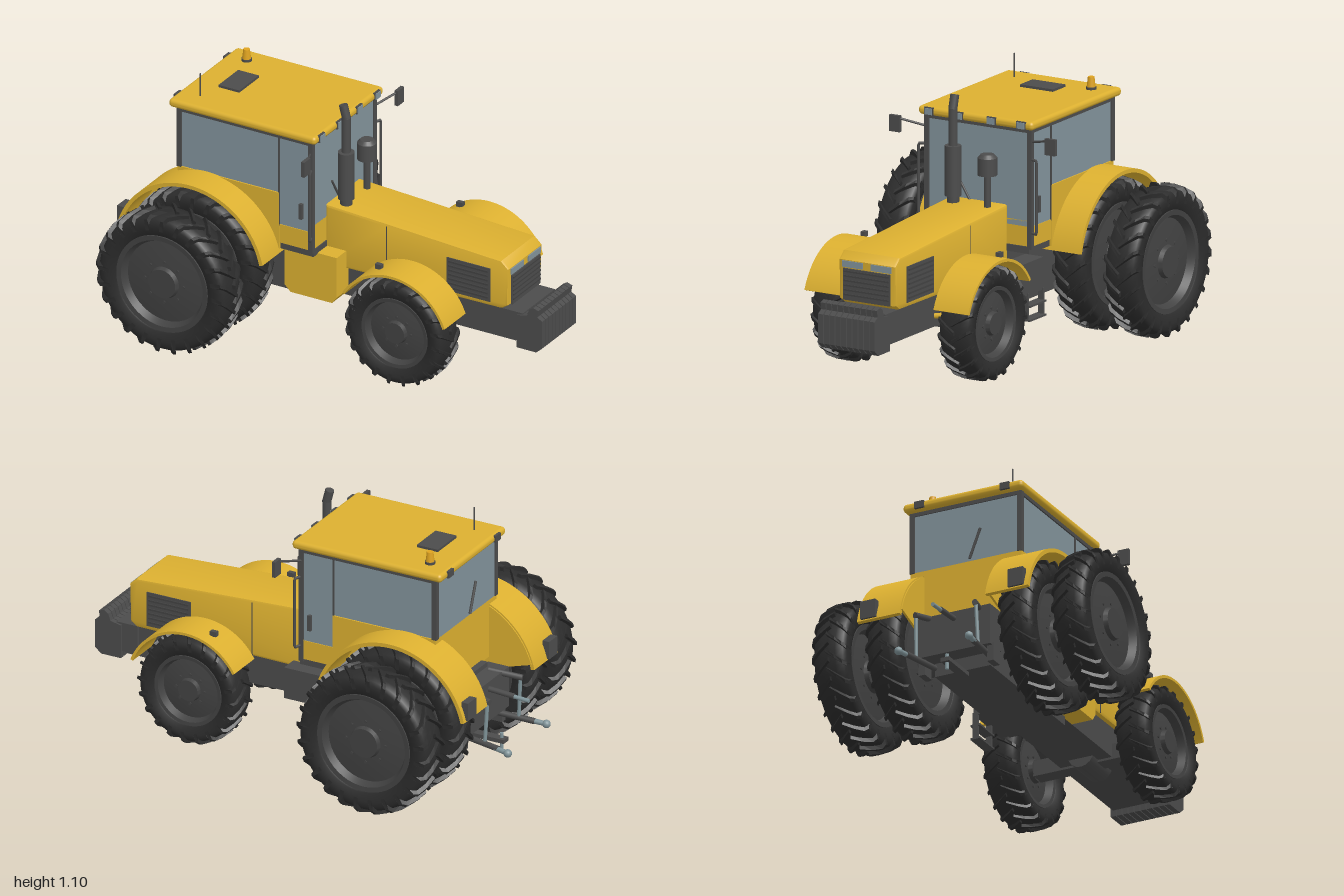
import * as THREE from 'three';
import { mergeGeometries, toCreasedNormals } from 'three/addons/utils/BufferGeometryUtils.js';
import { RoundedBoxGeometry } from 'three/addons/geometries/RoundedBoxGeometry.js';

const mat = (name, color) => Object.assign(new THREE.MeshStandardMaterial({ color }), { name });
const yellow = mat('yellow paint', 0xdcb030);
const dark = mat('dark grey metal', 0x4c4c4c);
const rubber = mat('tyre rubber', 0x2c2c2c);
const rimGrey = mat('rim grey', 0x424242);
const glass = mat('blue grey glass', 0x82939b);
const steel = mat('steel', 0x809499);
const amber = mat('amber', 0xdfa31f);

export function createModel() {
  const root = new THREE.Group();
  root.name = 'tractor';
  const add = (name, geo, m, x = 0, y = 0, z = 0, parent = root) => {
    const mesh = new THREE.Mesh(geo, m);
    mesh.name = name;
    mesh.position.set(x, y, z);
    parent.add(mesh);
    return mesh;
  };
  // box given by its limits
  const box = (name, m, x0, x1, y0, y1, z0, z1) =>
    add(name, new THREE.BoxGeometry(x1 - x0, y1 - y0, Math.abs(z1 - z0)), m, (x0 + x1) / 2, (y0 + y1) / 2, (z0 + z1) / 2);
  // rod between two points
  const rod = (name, m, a, b, r, sides = 10) => {
    const A = new THREE.Vector3(...a), d = new THREE.Vector3(...b).sub(A);
    const mesh = add(name, new THREE.CylinderGeometry(r, r, d.length(), sides), m);
    mesh.position.copy(A).addScaledVector(d, 0.5);
    mesh.quaternion.setFromUnitVectors(new THREE.Vector3(0, 1, 0), d.normalize());
    return mesh;
  };
  const cyl = (name, m, x, y0, y1, z, r0, r1 = r0) =>
    add(name, new THREE.CylinderGeometry(r1, r0, y1 - y0, 20), m, x, (y0 + y1) / 2, z);
  const tube = (name, m, pts, r) => {
    const path = new THREE.CurvePath();
    const v = pts.map(p => new THREE.Vector3(...p));
    for (let i = 1; i < v.length; i++) path.add(new THREE.LineCurve3(v[i - 1], v[i]));
    return add(name, new THREE.TubeGeometry(path, 40, r, 8), m);
  };
  // side profile extruded from z0 to z1
  const slab = (name, m, pts, z0, z1, bevel = 0) => {
    const shape = pts instanceof THREE.Shape ? pts : new THREE.Shape(pts.map(p => new THREE.Vector2(...p)));
    const geo = new THREE.ExtrudeGeometry(shape, {
      depth: z1 - z0 - 2 * bevel, bevelEnabled: bevel > 0, bevelSize: bevel, bevelThickness: bevel,
      bevelOffset: -bevel, bevelSegments: 2, curveSegments: 32 });
    return add(name, toCreasedNormals(geo, 0.5), m, 0, 0, z0 + bevel);
  };

  // tread: two staggered rows of slanted bars that wrap over the shoulder
  const treadGeometry = (R, w, n) => {
    const stations = [[-0.04, 1, 0], [0.22, 0.997, 0.11], [0.42, 0.975, 0.2], [0.5, 0.92, 0.235], [0.49, 0.84, 0.25]];
    const pos = [], idx = [];
    for (const s of [1, -1]) for (let i = 0; i < n; i++) {
      const base = (i + (s > 0 ? 0 : 0.5)) * Math.PI * 2 / n, start = pos.length / 3;
      for (const [zf, rf, turn] of stations)
        for (const [da, dr] of [[-1.2, -0.075], [-0.8, 0], [0.8, 0], [1.2, -0.075]]) {
          const a = base + turn + da * 0.3 / n * 2.4, r = R * (rf + dr);
          pos.push(Math.cos(a) * r, Math.sin(a) * r, s * zf * w);
        }
      const quad = (a, b, c, d) => s > 0 ? idx.push(a, b, c, a, c, d) : idx.push(a, c, b, a, d, c);
      for (let k = 0; k < stations.length - 1; k++) for (let j = 0; j < 4; j++) {
        const p = start + k * 4, q = (j + 1) % 4;
        quad(p + j, p + q, p + 4 + q, p + 4 + j);
      }
      quad(start + 3, start + 2, start + 1, start);
      const e = start + 4 * (stations.length - 1);
      quad(e, e + 1, e + 2, e + 3);
    }
    const g = new THREE.BufferGeometry();
    g.setAttribute('position', new THREE.Float32BufferAttribute(pos, 3));
    g.setIndex(idx);
    const flat = g.toNonIndexed();
    flat.computeVertexNormals();
    return flat;
  };
  const lathe = (half, seg) => {
    const pts = [...half.map(([r, y]) => [r, -y]), ...half.slice().reverse()].map(p => new THREE.Vector2(...p));
    return new THREE.LatheGeometry(pts, seg).rotateX(Math.PI / 2);
  };
  const wheel = (name, x, y, z, R, w, rim, n) => {
    const g = new THREE.Group();
    g.name = name;
    g.position.set(x, y, z);
    root.add(g);
    add('tyre', lathe([[rim, w * 0.34], [rim * 1.05, w * 0.42], [R * 0.8, w * 0.48], [R * 0.87, w * 0.475],
      [R * 0.92, w * 0.41], [R * 0.945, w * 0.2], [R * 0.95, w * 0.02]], 56), rubber, 0, 0, 0, g);
    add('tread', treadGeometry(R, w, n), rubber, 0, 0, 0, g);
    add('rim', toCreasedNormals(lathe([[0, w * 0.4], [rim * 0.3, w * 0.4], [rim * 0.33, w * 0.28], [rim * 0.55, w * 0.26],
      [rim * 0.85, w * 0.2], [rim * 0.92, w * 0.4], [rim * 1.02, w * 0.41], [rim * 1.03, w * 0.3]], 48), 0.5), rimGrey, 0, 0, 0, g);
    const bolts = [];
    for (let i = 0; i < 8; i++) {
      const a = i * Math.PI / 4;
      bolts.push(new THREE.CylinderGeometry(0.007, 0.007, w * 0.6, 6).rotateX(Math.PI / 2)
        .translate(Math.cos(a) * rim * 0.43, Math.sin(a) * rim * 0.43, 0));
    }
    add('bolts', mergeGeometries(bolts), rimGrey, 0, 0, 0, g);
  };
  // curved mudguard band
  const band = (cx, cy, r0, r1, a0, a1) => {
    const s = new THREE.Shape();
    s.absarc(cx, cy, r1, a0, a1, false);
    s.absarc(cx, cy, r0, a1, a0, true);
    return s;
  };

  // chassis
  box('chassis', dark, -0.72, 0.86, 0.22, 0.36, -0.12, 0.12);
  box('gearbox', dark, -0.72, -0.05, 0.18, 0.44, -0.13, 0.13);
  box('rear housing', dark, -0.8, -0.7, 0.24, 0.42, -0.17, 0.17);
  rod('rear axle', steel, [-0.55, 0.335, -0.62], [-0.55, 0.335, 0.62], 0.018, 16);
  rod('rear axle casing', dark, [-0.55, 0.335, -0.26], [-0.55, 0.335, 0.26], 0.06, 16);
  box('front axle', dark, 0.39, 0.46, 0.21, 0.28, -0.25, 0.25);
  rod('front differential', dark, [0.34, 0.24, 0], [0.51, 0.24, 0], 0.06, 16);

  // wheels, mudguards and other paired parts
  for (const s of [1, -1]) {
    const side = s > 0 ? 'left' : 'right', z = (a, b) => s > 0 ? [a, b] : [-b, -a];
    wheel(side + ' outer rear wheel', -0.55, 0.335, s * 0.56, 0.325, 0.16, 0.215, 24);
    wheel(side + ' inner rear wheel', -0.55, 0.335, s * 0.31, 0.325, 0.16, 0.215, 24);
    wheel(side + ' front wheel', 0.425, 0.25, s * 0.31, 0.245, 0.16, 0.155, 20);
    slab(side + ' rear fender', yellow, band(-0.55, 0.335, 0.345, 0.362, 0.22, 2.92), ...z(0.2, 0.4));
    slab(side + ' rear fender wall', yellow, band(-0.55, 0.335, 0.12, 0.355, 0.3, 2.85), ...z(0.195, 0.205));
    slab(side + ' front fender', yellow, band(0.425, 0.25, 0.264, 0.276, 0.36, 2.6), ...z(0.23, 0.4));
    slab(side + ' fender bracket', dark, band(0.425, 0.25, 0.1, 0.266, 1.35, 1.8), ...z(0.222, 0.23));
    // cab side skirt, cut to follow the rear fender
    const skirt = new THREE.Shape();
    skirt.moveTo(-0.2, 0.69);
    skirt.lineTo(-0.56, 0.69);
    skirt.absarc(-0.55, 0.335, 0.35, Math.PI / 2, 0.28, true);
    skirt.lineTo(-0.2, 0.43);
    slab(side + ' cab skirt', yellow, skirt, ...z(0.2, 0.26));
    // lamps on the mudguards
    box(side + ' tail lamp', dark, -0.912, -0.88, 0.42, 0.5, s * 0.31, s * 0.38);
    box(side + ' marker lamp', dark, 0.31, 0.34, 0.508, 0.53, s * 0.32, s * 0.34);
    // cab pillars
    for (const [x, y] of [[-0.695, 0.69], [-0.06, 0.45]])
      box(side + ' cab pillar', dark, x, x + 0.022, y, 0.965, s * 0.24, s * 0.262);
    box(side + ' door post', dark, -0.206, -0.199, 0.54, 0.965, s * 0.25, s * 0.259);
    box(side + ' door handle', dark, -0.1, -0.085, 0.6, 0.67, s * 0.255, s * 0.27);
    // grab rail
    tube(side + ' grab rail', dark, [[-0.045, 0.835, s * 0.26], [-0.035, 0.835, s * 0.288], [-0.035, 0.52, s * 0.288], [-0.045, 0.52, s * 0.26]], 0.006);
    // mirror
    rod(side + ' mirror arm', dark, [-0.05, 0.91, s * 0.26], [0, 0.94, s * 0.37], 0.005);
    box(side + ' mirror', dark, -0.008, 0.008, 0.88, 0.95, s * 0.355, s * 0.405);
    // side grille with slats
    box(side + ' side grille', dark, 0.54, 0.75, 0.38, 0.535, s * 0.138, s * 0.144);
    for (let i = 0; i < 7; i++)
      box(side + ' grille slat', rimGrey, 0.55, 0.74, 0.395 + i * 0.02, 0.403 + i * 0.02, s * 0.143, s * 0.148);
    box(side + ' hood seam', dark, 0.247, 0.251, 0.36, 0.6, s * 0.139, s * 0.1415);
    box(side + ' headlight', glass, 0.834, 0.84, 0.52, 0.547, s * 0.02, s * 0.12);
    rod(side + ' steering ram', yellow, [0.49, 0.28, s * 0.21], [0.51, 0.27, s * 0.13], 0.012);
    // rear hitch
    rod(side + ' lower link', dark, [-0.72, 0.22, s * 0.13], [-0.93, 0.205, s * 0.155], 0.013);
    rod(side + ' link end', steel, [-0.88, 0.208, s * 0.15], [-0.985, 0.2, s * 0.165], 0.011);
    add(side + ' link ball', new THREE.SphereGeometry(0.018, 14, 10), steel, -0.98, 0.2, s * 0.165);
    rod(side + ' lift arm', dark, [-0.74, 0.42, s * 0.1], [-0.88, 0.4, s * 0.14], 0.013);
    rod(side + ' lift rod', steel, [-0.87, 0.4, s * 0.14], [-0.86, 0.21, s * 0.145], 0.008);
    box(side + ' link bracket', dark, -0.78, -0.72, 0.17, 0.25, s * 0.145, s * 0.175);
  }
  rod('top link', dark, [-0.76, 0.39, 0], [-0.92, 0.38, 0], 0.012);
  rod('top link end', steel, [-0.9, 0.38, 0], [-0.99, 0.375, 0], 0.009);
  box('drawbar', dark, -0.88, -0.7, 0.16, 0.178, -0.02, 0.02);
  rod('drawbar pin', steel, [-0.86, 0.13, 0], [-0.86, 0.2, 0], 0.008);

  // hood and nose
  slab('hood', yellow, [[-0.05, 0.35], [0.8, 0.36], [0.83, 0.38], [0.835, 0.55], [0.8, 0.582], [0.25, 0.612], [-0.05, 0.627]], -0.14, 0.14, 0.012);
  box('front grille', dark, 0.834, 0.841, 0.38, 0.515, -0.115, 0.115);
  for (let i = 0; i < 6; i++) box('front grille slat', rimGrey, 0.838, 0.845, 0.4 + i * 0.02, 0.407 + i * 0.02, -0.11, 0.11);

  // front weights
  box('weight carrier', dark, 0.8, 0.9, 0.23, 0.36, -0.13, 0.13);
  for (let i = 0; i < 10; i++) {
    const z = -0.14 + i * 0.028;
    slab('front weight', dark, [[0.875, 0.2], [0.97, 0.2], [0.998, 0.225], [0.998, 0.35], [0.975, 0.365],
      [0.98, 0.395], [0.955, 0.403], [0.935, 0.39], [0.925, 0.36], [0.875, 0.35]], z + 0.002, z + 0.026);
  }

  // cab
  box('cab lower body', yellow, -0.69, -0.06, 0.43, 0.69, -0.2, 0.2);
  box('cab front skirt', yellow, -0.2, -0.045, 0.46, 0.545, -0.257, 0.257);
  box('cab front panel', yellow, -0.06, -0.045, 0.545, 0.57, -0.257, 0.257);
  box('cab floor', dark, -0.2, -0.04, 0.43, 0.46, -0.25, 0.25);
  box('cab sill', yellow, -0.69, -0.2, 0.67, 0.692, -0.26, 0.26);
  box('cab glass', glass, -0.69, -0.045, 0.69, 0.965, -0.254, 0.254);
  box('door glass', glass, -0.2, -0.045, 0.545, 0.69, -0.254, 0.254);
  box('cab header', dark, -0.695, -0.04, 0.948, 0.968, -0.26, 0.26);
  rod('rear wiper', dark, [-0.697, 0.7, 0.02], [-0.697, 0.83, 0.07], 0.006);
  rod('front wiper', dark, [-0.04, 0.59, 0.02], [-0.04, 0.72, 0.1], 0.005);
  add('roof', new RoundedBoxGeometry(0.71, 0.037, 0.56, 4, 0.016), yellow, -0.37, 0.983, 0);
  box('roof hatch', dark, -0.6, -0.5, 0.998, 1.012, -0.08, 0.08);
  for (const z of [-0.225, -0.08, 0.08, 0.225]) {
    box('roof lamp', dark, -0.022, -0.012, 0.967, 1.0, z - 0.022, z + 0.022);
    box('roof lamp lens', glass, -0.013, -0.008, 0.97, 0.997, z - 0.018, z + 0.018);
  }
  for (const z of [-0.2, 0.2]) box('rear work lamp', dark, -0.732, -0.72, 0.968, 0.998, z - 0.022, z + 0.022);
  cyl('beacon base', dark, -0.625, 0.998, 1.012, -0.19, 0.022);
  cyl('beacon', amber, -0.625, 1.01, 1.055, -0.19, 0.019, 0.014);
  cyl('antenna', dark, -0.625, 1.0, 1.105, 0.185, 0.003);

  // exhaust and air intake
  cyl('exhaust base', dark, 0.02, 0.61, 0.66, 0.085, 0.026);
  cyl('muffler', dark, 0.02, 0.65, 0.865, 0.085, 0.035);
  cyl('exhaust pipe', dark, 0.02, 0.86, 1.03, 0.085, 0.019);
  rod('exhaust tip', dark, [0.022, 1.02, 0.085], [0.006, 1.08, 0.085], 0.019, 16);
  cyl('intake pipe', dark, 0.02, 0.61, 0.77, -0.083, 0.015);
  cyl('air cleaner', dark, 0.02, 0.76, 0.835, -0.083, 0.041);
  cyl('air cleaner cap', dark, 0.02, 0.835, 0.85, -0.083, 0.041, 0.028);

  // tool box, battery box and step
  slab('tool box', yellow, [[-0.2, 0.25], [-0.17, 0.22], [0.03, 0.22], [0.053, 0.25], [0.053, 0.435], [-0.2, 0.435]], 0.12, 0.218);
  box('battery box', dark, -0.2, 0.053, 0.24, 0.38, -0.22, -0.12);
  for (const x of [-0.195, -0.075]) box('step rail', dark, x - 0.005, x + 0.005, 0.13, 0.25, -0.225, -0.2);
  for (const y of [0.13, 0.19]) box('step tread', dark, -0.2, -0.07, y, y + 0.008, -0.235, -0.19);

  return root;
}
